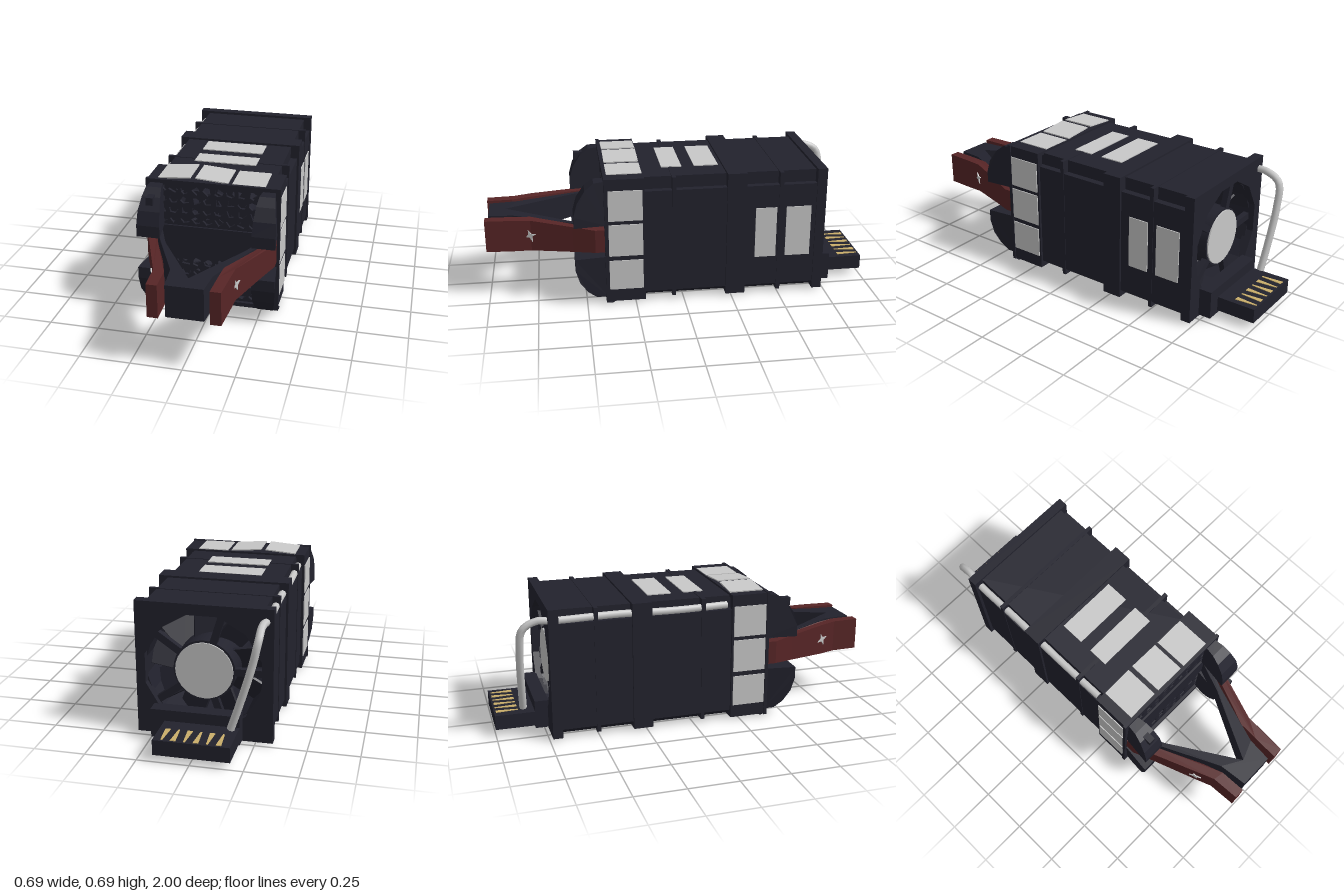
import * as THREE from 'three';

const mat = (name, color) => {
  const m = new THREE.MeshStandardMaterial({ color });
  m.name = name;
  return m;
};
const CY = 0.343; // height of the fan axis

export function createModel() {
  const root = new THREE.Group();
  root.name = 'fanModule';
  const dark = mat('darkPlastic', 0x22222d);
  const red = mat('redGrip', 0x572526);
  const light = mat('lightLabel', 0xc8c8c8);
  const gold = mat('goldContact', 0xc9ad6a);

  const add = (name, geo, m, parent = root) => {
    const mesh = new THREE.Mesh(geo, m);
    mesh.name = name;
    parent.add(mesh);
    return mesh;
  };
  // box given by its limits
  const box = (name, m, x0, x1, y0, y1, z0, z1) => {
    const mesh = add(name, new THREE.BoxGeometry(x1 - x0, y1 - y0, z1 - z0), m);
    mesh.position.set((x0 + x1) / 2, (y0 + y1) / 2, (z0 + z1) / 2);
    return mesh;
  };
  const shapeOf = (pts) => new THREE.Shape(pts.map(([x, y]) => new THREE.Vector2(x, y)));
  const rect = (x0, x1, y0, y1) => [[x0, y0], [x1, y0], [x1, y1], [x0, y1]];
  const circle = (r, n, y = CY) => Array.from({ length: n }, (_, i) => {
    const a = ((i + 0.5) / n) * Math.PI * 2;
    return [r * Math.cos(a), y + r * Math.sin(a)];
  });
  // outline with holes, extruded from z0 to z1
  const slab = (name, m, outline, holes, z0, z1) => {
    const s = shapeOf(outline);
    holes.forEach((h) => s.holes.push(shapeOf(h)));
    const g = new THREE.ExtrudeGeometry(s, { depth: z1 - z0, bevelEnabled: false });
    return add(name, g.translate(0, 0, z0), m);
  };
  // plan outline (x, z) extruded in height, then slimmed towards the rear
  const planPart = (name, m, pts, y0, y1, slim) => {
    const g = new THREE.ExtrudeGeometry(shapeOf(pts), { depth: y1 - y0, bevelEnabled: false });
    g.rotateX(Math.PI / 2).translate(0, y1, 0);
    const p = g.attributes.position;
    for (let i = 0; i < p.count; i++) p.setY(i, 0.345 + (p.getY(i) - 0.345) * slim(p.getZ(i)));
    g.computeVertexNormals();
    return add(name, g, m);
  };

  // Housing with stepped corners that leave a channel for the cable
  const half = [[0.32, 0.05], [0.32, 0.6], [0.285, 0.6], [0.285, 0.664]];
  const section = [[0.285, 0.022], ...half, ...half.map(([x, y]) => [-x, y]).reverse(), [-0.285, 0.022]];
  slab('housing', dark, section, [circle(0.285, 20)], -0.7, 0.22);
  slab('frontFrame', dark, rect(-0.333, 0.333, 0.012, 0.674), [rect(-0.3, 0.3, 0.03, 0.655)], 0.2, 0.4);
  slab('frontLip', dark, rect(-0.339, 0.339, 0.008, 0.678), [rect(-0.3, 0.3, 0.03, 0.655)], 0.385, 0.402);
  slab('middleBand', dark, rect(-0.331, 0.331, 0.012, 0.674), [circle(0.285, 20)], -0.32, -0.22);
  slab('rearFlange', dark, rect(-0.335, 0.325, 0.012, 0.677), [circle(0.29, 12)], -0.735, -0.685);
  for (const z of [0.05, -0.5])
    slab('thinRib', dark, rect(-0.323, 0.323, 0.018, 0.667), [circle(0.285, 20)], z - 0.01, z + 0.01);
  for (const x of [-0.31, -0.17, -0.03, 0.1, 0.17, 0.32]) {
    const foot = add('footBump', new THREE.CylinderGeometry(0.025, 0.008, 0.012, 6), dark);
    foot.position.set(x, 0.006, 0.375);
  }

  // Irregular mesh panels in two staggered layers
  let seed = 11;
  const rnd = () => (seed = (seed * 16807) % 2147483647) / 2147483647;
  const mesh = (y0, y1, z, rows, cols) => {
    const w = 0.58 / cols, h = (y1 - y0) / rows, holes = [];
    for (let r = 0; r < rows; r++) for (let c = 0; c < cols; c++) {
      const n = 4 + Math.floor(rnd() * 3), turn = rnd() * 6;
      const cx = -0.29 + (c + 0.5) * w, cy = y0 + (r + 0.5) * h;
      holes.push(Array.from({ length: n }, (_, i) => {
        const a = turn + ((i + rnd() * 0.5) / n) * Math.PI * 2, k = 0.36 + rnd() * 0.1;
        return [cx + Math.cos(a) * w * k, cy + Math.sin(a) * h * k];
      }));
    }
    slab('meshPanel', dark, rect(-0.302, 0.302, y0 - 0.01, y1 + 0.01), holes, z - 0.015, z);
  };
  for (const [y0, y1] of [[0.035, 0.255], [0.435, 0.65]]) {
    mesh(y0, y1, 0.385, 4, 10);
    mesh(y0, y1, 0.335, 3, 8);
  }
  box('centrePlate', dark, -0.302, 0.302, 0.26, 0.43, 0.34, 0.395);

  // Rotor, blades and rear guard
  const disc = (name, m, r, z0, z1) => {
    const d = add(name, new THREE.CylinderGeometry(r, r, z1 - z0, 28), m);
    d.rotation.x = Math.PI / 2;
    d.position.set(0, CY, (z0 + z1) / 2);
  };
  disc('hub', dark, 0.15, -0.705, 0.1);
  disc('hubCap', light, 0.14, -0.712, -0.704);
  for (let i = 0; i < 9; i++) {
    const pivot = new THREE.Group();
    pivot.name = 'fanBlade';
    pivot.position.set(0, CY, -0.58);
    pivot.rotation.z = (i / 9) * Math.PI * 2;
    const blade = add('blade', new THREE.BoxGeometry(0.16, 0.19, 0.012), dark, pivot);
    blade.position.y = 0.195;
    blade.rotation.y = 0.6;
    root.add(pivot);
  }
  for (let i = 0; i < 5; i++) {
    const pivot = new THREE.Group();
    pivot.name = 'guardStrut';
    pivot.position.set(0, CY, -0.69);
    pivot.rotation.z = (i / 5) * Math.PI * 2 + 0.3;
    add('strut', new THREE.BoxGeometry(0.035, 0.17, 0.03), dark, pivot).position.y = 0.21;
    root.add(pivot);
  }

  // Pale plates on the front frame, top and model's left side
  for (const s of [-1, 1])
    for (const [y0, y1] of [[0.08, 0.24], [0.265, 0.435], [0.455, 0.615]])
      box('framePlate', light, s * 0.335 - 0.003, s * 0.335 + 0.003, y0, y1, 0.21, 0.383);
  [[-0.28, -0.115, 0.08], [-0.09, 0.075, -0.08], [0.095, 0.26, 0]].forEach(([x0, x1, tilt]) => {
    const y = tilt ? 0.684 : 0.675;
    box('topFramePlate', light, x0, x1, y - 0.003, y + 0.003, 0.205, 0.383).rotation.z = tilt;
  });
  for (const [z0, z1] of [[-0.2, -0.075], [-0.01, 0.095]])
    box('topLabel', light, -0.17, 0.155, 0.663, 0.669, z0, z1);
  for (const [z0, z1] of [[-0.48, -0.37], [-0.66, -0.53]])
    box('sideLabel', light, 0.319, 0.325, 0.21, 0.48, z0, z1);

  // Rounded corner pods beside the handle
  const podProfile = [[0.39, 0.43], [0.555, 0.43], [0.555, 0.49], [0.535, 0.56], [0.495, 0.62], [0.45, 0.655], [0.39, 0.66]];
  for (const s of [-1, 1]) for (const v of [-1, 1]) {
    const prof = podProfile.map(([z, y]) => [z, v > 0 ? y : 0.69 - y]);
    const g = new THREE.ExtrudeGeometry(shapeOf(prof), { depth: 0.12, bevelEnabled: false });
    g.rotateY(-Math.PI / 2).translate(0.06, 0, 0);
    const p = g.attributes.position;
    for (let i = 0; i < p.count; i++) {
      const back = (0.555 - p.getZ(i)) / 0.165;
      const outer = 0.345 - 0.02 * back - 0.1 * Math.max(0, Math.abs(p.getY(i) - 0.345) - 0.2);
      const inner = 0.228 + 0.025 * back;
      p.setX(i, p.getX(i) * s > 0 ? s * outer : s * inner);
    }
    g.computeVertexNormals();
    add('cornerPod', g, dark);
  }
  box('podButton', dark, -0.3, -0.265, 0.59, 0.63, 0.47, 0.53);

  // Handle: two red grips on a dark V-shaped yoke
  const slim = (z) => 0.72 + 0.28 * Math.min(1, Math.max(0, (z - 0.45) / 0.35));
  for (const s of [-1, 1]) {
    const o = 0.015;
    const grip = [[0.325, 0.4], [0.325, 0.45], [0.28, 0.56], [0.2, 0.77], [s * o + 0.18, 0.86], [s * o + 0.172, 1],
      [s * o + 0.12, 1], [s * o + 0.125, 0.87], [0.145, 0.77], [0.24, 0.55], [0.275, 0.45], [0.275, 0.4]]
      .map(([x, z]) => [s > 0 ? x : -x, z]);
    planPart('redGrip', red, grip, 0.262, 0.43, slim);
    // small four-pointed star on the outer face
    const star = shapeOf(Array.from({ length: 8 }, (_, i) => {
      const r = i % 2 ? 0.011 : 0.034, a = (i / 8) * Math.PI * 2 + 0.35;
      return [r * Math.cos(a), r * Math.sin(a)];
    }));
    const plate = add('starMark', new THREE.ExtrudeGeometry(star, { depth: 0.006, bevelEnabled: false }), light);
    plate.position.set(s * 0.2, 0.347, 0.772);
    plate.rotation.y = s * 1.207;
  }
  planPart('handleYoke', dark, [[-0.075, 0.985], [0.105, 0.985], [0.115, 0.86], [0.225, 0.55], [0.29, 0.4], [0.26, 0.4],
    [0.2, 0.55], [0.012, 0.9], [-0.2, 0.55], [-0.26, 0.4], [-0.29, 0.4], [-0.225, 0.55], [-0.09, 0.84]], 0.264, 0.427, slim);

  // Rear connector with tapered contacts
  box('connectorBase', dark, -0.19, 0.24, 0.02, 0.165, -0.8, -0.73);
  box('connectorTongue', dark, -0.19, 0.172, 0.035, 0.11, -1, -0.79);
  for (let i = 0; i < 6; i++) {
    const x = -0.135 + i * 0.053, wide = i % 2 ? 0.013 : 0.004, tip = 0.017 - wide;
    planPart('contactPin', gold, [[x - tip, -0.99], [x + tip, -0.99], [x + wide, -0.88], [x - wide, -0.88]], 0.107, 0.113, () => 1);
  }

  // Cable along the right edge, then down to the connector
  const path = new THREE.CatmullRomCurve3([
    [-0.3, 0.62, 0.18], [-0.303, 0.615, -0.1], [-0.3, 0.62, -0.4], [-0.302, 0.615, -0.7], [-0.29, 0.615, -0.79],
    [-0.287, 0.575, -0.855], [-0.26, 0.45, -0.868], [-0.2, 0.25, -0.862], [-0.16, 0.13, -0.855],
  ].map((p) => new THREE.Vector3(...p)), false, 'centripetal');
  add('cable', new THREE.TubeGeometry(path, 60, 0.019, 8), light);
  return root;
}
